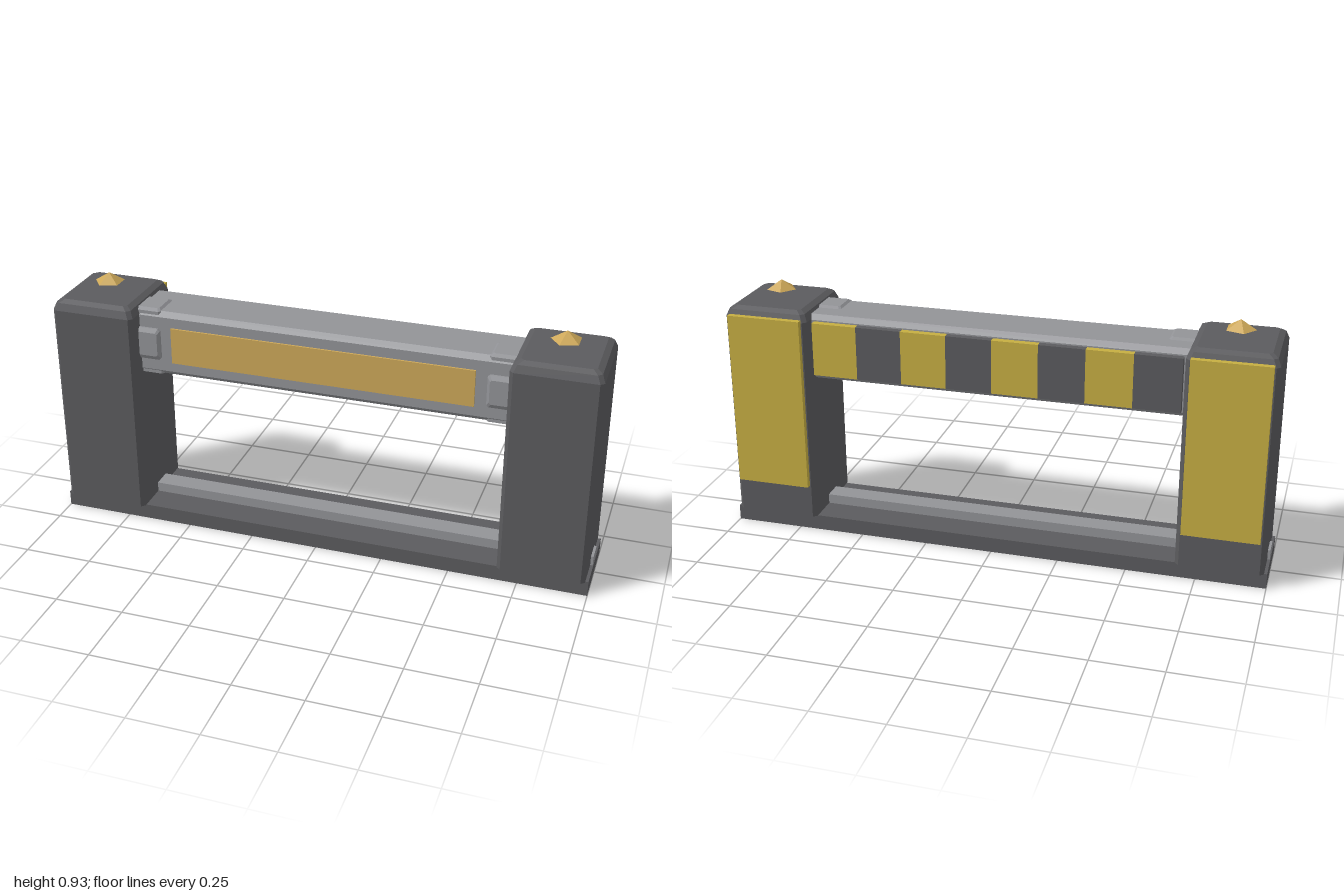
import * as THREE from 'three';

const mat = (name, color) => {
  const m = new THREE.MeshStandardMaterial({ color });
  m.name = name;
  return m;
};

// Chamfered rectangle, counter-clockwise in (u, v)
function chamferedRect(w, h, c) {
  const a = w / 2, b = h / 2;
  return [[a, -b + c], [a, b - c], [a - c, b], [-a + c, b],
    [-a, b - c], [-a, -b + c], [-a + c, -b], [a - c, -b]];
}

// Flat-shaded solid rising along y through stacked chamfered rectangles: [y, width, depth, chamfer]
function loft(levels) {
  const rings = levels.map(([y, w, d, c]) =>
    chamferedRect(w, d, c).map(([x, z]) => new THREE.Vector3(x, y, -z)));
  const points = [];
  const tri = (...corners) => corners.forEach(p => points.push(p));
  for (let i = 0; i < rings.length - 1; i++) {
    for (let j = 0; j < 8; j++) {
      const k = (j + 1) % 8, lo = rings[i], hi = rings[i + 1];
      tri(lo[j], lo[k], hi[k]);
      tri(lo[j], hi[k], hi[j]);
    }
  }
  const bottom = rings[0], top = rings[rings.length - 1];
  for (let j = 1; j < 7; j++) {
    tri(top[0], top[j], top[j + 1]);
    tri(bottom[0], bottom[j + 1], bottom[j]);
  }
  const g = new THREE.BufferGeometry().setFromPoints(points);
  g.computeVertexNormals();
  return g;
}

export function createModel() {
  const model = new THREE.Group();
  model.name = 'barrier';
  const dark = mat('dark grey', 0x5b5b5e);
  const light = mat('light grey', 0x929397);
  const yellow = mat('yellow', 0xc6ae42);
  const tan = mat('tan', 0xcca758);

  const add = (name, geometry, material, x = 0, y = 0, z = 0) => {
    const mesh = new THREE.Mesh(geometry, material);
    mesh.name = name;
    mesh.position.set(x, y, z);
    model.add(mesh);
    return mesh;
  };
  // Box given by its limits on each axis
  const box = (name, material, [x0, x1], [y0, y1], [z0, z1]) =>
    add(name, new THREE.BoxGeometry(x1 - x0, y1 - y0, z1 - z0), material,
      (x0 + x1) / 2, (y0 + y1) / 2, (z0 + z1) / 2);

  // Base and the rail lying along it
  box('base', dark, [-1, 1], [0, 0.057], [-0.138, 0.157]);
  box('baseRail', light, [-0.998, 0.998], [0.05, 0.093], [-0.027, 0.047]);

  // Crossbeam with chamfered long edges
  const beam = add('crossbeam', loft([[-0.7, 0.245, 0.21, 0.018], [0.7, 0.245, 0.21, 0.018]]),
    light, 0, 0.7175, 0.005);
  beam.rotation.z = Math.PI / 2;

  // Front panel
  box('frontPanel', tan, [-0.555, 0.555], [0.65, 0.785], [0.105, 0.117]);

  // Warning stripes along the back
  const step = 1.334 / 8;
  for (let i = 0; i < 8; i++) {
    const x = -0.667 + i * step;
    box('backStripe', i % 2 ? yellow : dark, [x, x + step], [0.62, 0.817], [-0.125, -0.095]);
  }

  // Posts with chamfered tops
  const postGeometry = loft([
    [0.057, 0.312, 0.332, 0.014], [0.825, 0.312, 0.332, 0.014],
    [0.852, 0.29, 0.312, 0.014], [0.863, 0.25, 0.272, 0.012],
  ]);
  const beaconGeometry = new THREE.ConeGeometry(0.055, 0.034, 5).toNonIndexed();
  beaconGeometry.computeVertexNormals();
  const clampGeometry = loft([[0, 0.12, 0.12, 0.008], [0.014, 0.12, 0.12, 0.008], [0.022, 0.1, 0.09, 0.006]]);

  for (const side of [-1, 1]) {
    add('post', postGeometry, dark, side * 0.833, 0, 0.011);
    add('backPlate', new THREE.BoxGeometry(0.275, 0.648, 0.022), yellow, side * 0.833, 0.511, -0.164);
    add('beacon', beaconGeometry, tan, side * 0.835, 0.91, 0.011).rotation.y = -Math.PI / 2;

    // Clamps holding the beam on its front, top and bottom
    const x = side * 0.657;
    add('frontClamp', clampGeometry, light, x, 0.717, 0.104).rotation.x = Math.PI / 2;
    add('topClamp', clampGeometry, light, x, 0.825, 0.045);
    add('bottomClamp', clampGeometry, light, x, 0.61, 0.045).rotation.x = Math.PI;
  }
  return model;
}
